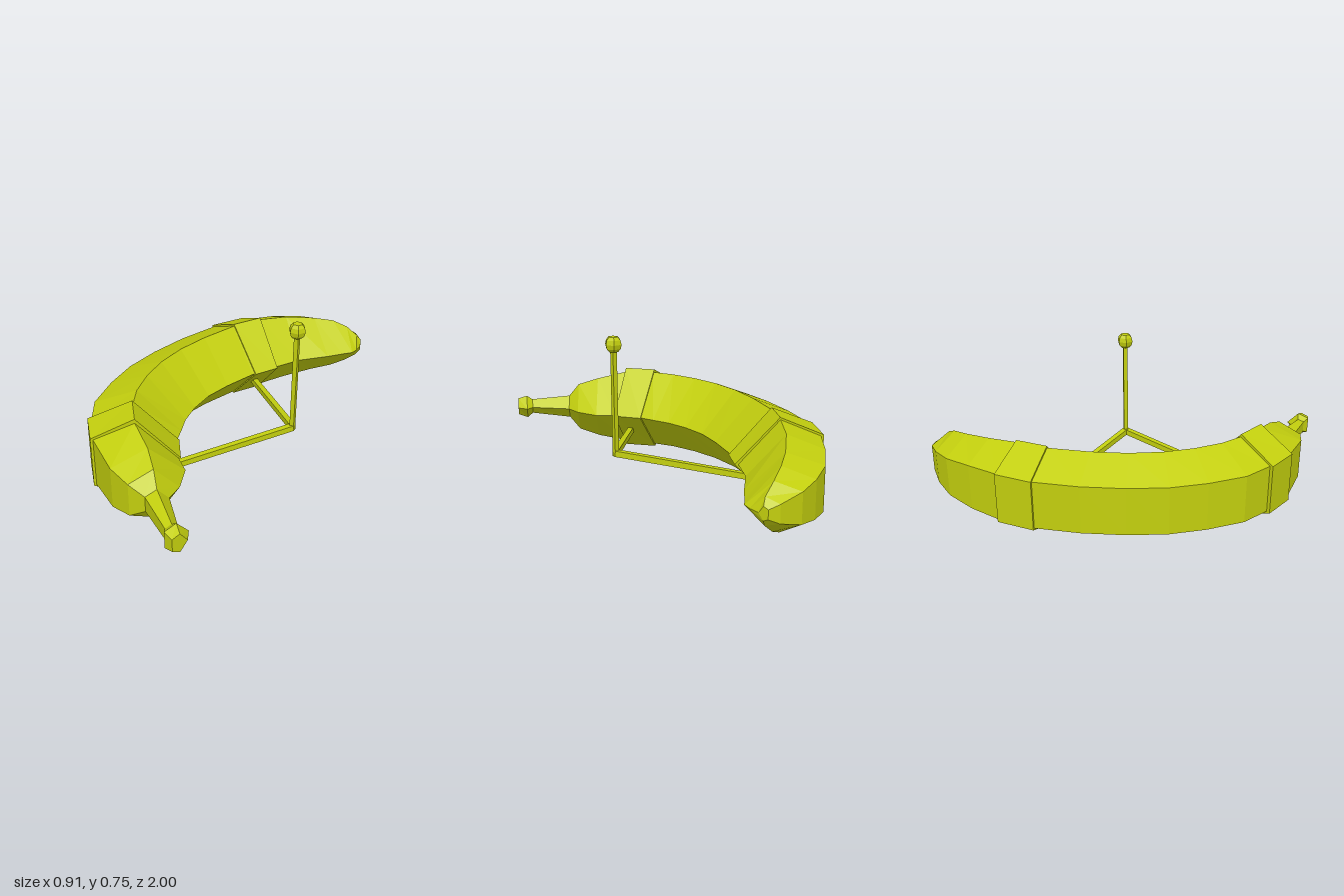
import * as THREE from 'three';

const MID = 0.22; // height of the body's centre plane
const material = new THREE.MeshStandardMaterial({ color: 0xc3cf0e, flatShading: true });

// Skins five-sided rings, listed from front (+z) to back.
// Section: outer x, z, inner x, z, ridge half height, outer face half height
function loft(name, sections) {
  const pos = [], idx = [], n = 5;
  for (const [ox, oz, ix, iz, H, h] of sections) {
    const mx = (ox + ix) / 2, mz = (oz + iz) / 2;
    pos.push(ox, MID + h, oz, mx, MID + H, mz, ix, MID, iz, mx, MID - H, mz, ox, MID - h, oz);
  }
  const last = (sections.length - 1) * n;
  for (let i = 0; i < last; i += n) {
    for (let j = 0; j < n; j++) {
      const k = (j + 1) % n;
      idx.push(i + j, i + k, i + n + k, i + j, i + n + k, i + n + j);
    }
  }
  for (let k = 1; k < n - 1; k++) {
    idx.push(0, k + 1, k, last, last + k, last + k + 1);
  }
  const geo = new THREE.BufferGeometry();
  geo.setAttribute('position', new THREE.Float32BufferAttribute(pos, 3));
  geo.setIndex(idx);
  return finish(name, geo.toNonIndexed());
}

function finish(name, geo) {
  geo.computeVertexNormals();
  const mesh = new THREE.Mesh(geo, material);
  mesh.name = name;
  return mesh;
}

// Square bar between two points
function bar(name, from, to, width) {
  const a = new THREE.Vector3(...from), b = new THREE.Vector3(...to);
  const mesh = finish(name, new THREE.BoxGeometry(width, width, a.distanceTo(b)));
  mesh.position.copy(a).add(b).multiplyScalar(0.5);
  mesh.lookAt(b);
  return mesh;
}

export function createModel() {
  const group = new THREE.Group();
  group.name = 'banana';

  // Curved fruit, from the stem shoulder to the blossom tip
  group.add(loft('fruit', [
    [0.125, 0.83, 0.19, 0.745, 0.06, 0.037],
    [0.05, 0.84, 0.19, 0.66, 0.125, 0.08],
    [-0.06, 0.805, 0.15, 0.545, 0.16, 0.1],
    [-0.235, 0.685, 0.075, 0.48, 0.195, 0.12],
    [-0.335, 0.555, 0.0, 0.37, 0.2, 0.12],
    [-0.41, 0.425, -0.025, 0.285, 0.2, 0.12],
    [-0.445, 0.24, -0.055, 0.195, 0.2, 0.12],
    [-0.455, 0.06, -0.07, 0.08, 0.2, 0.12],
    [-0.43, -0.13, -0.065, -0.05, 0.2, 0.12],
    [-0.38, -0.33, -0.03, -0.185, 0.2, 0.12],
    [-0.3, -0.54, 0.03, -0.35, 0.2, 0.12],
    [-0.2, -0.69, 0.1, -0.48, 0.2, 0.12],
    [-0.085, -0.815, 0.18, -0.61, 0.185, 0.115],
    [0.035, -0.92, 0.3, -0.725, 0.16, 0.1],
    [0.15, -0.975, 0.36, -0.79, 0.14, 0.085],
    [0.255, -1.0, 0.4, -0.83, 0.105, 0.068],
    [0.36, -0.985, 0.41, -0.87, 0.06, 0.04],
    [0.4, -0.96, 0.412, -0.92, 0.03, 0.02],
  ]));

  // Stem with flared end
  group.add(loft('stem', [
    [0.355, 0.995, 0.39, 0.935, 0.045, 0.03],
    [0.31, 0.98, 0.365, 0.885, 0.06, 0.04],
    [0.295, 0.95, 0.325, 0.895, 0.038, 0.028],
    [0.125, 0.83, 0.19, 0.745, 0.06, 0.037],
  ]));

  // Raised bands around the fruit
  group.add(loft('frontBand', [
    [-0.24, 0.695, 0.085, 0.475, 0.215, 0.125],
    [-0.35, 0.565, 0.005, 0.355, 0.215, 0.125],
  ]));
  group.add(loft('rearBand', [
    [-0.312, -0.54, 0.045, -0.36, 0.21, 0.125],
    [-0.21, -0.698, 0.115, -0.475, 0.21, 0.125],
  ]));

  // Two arms meeting at an upright post
  group.add(bar('frontArm', [0.415, 0.215, 0], [-0.035, 0.12, 0.49], 0.028));
  group.add(bar('rearArm', [0.415, 0.215, 0], [-0.02, 0.125, -0.46], 0.028));
  group.add(bar('post', [0.414, 0.2, 0], [0.414, 0.7, 0], 0.021));

  // Six-sided ball with flat poles
  const profile = [[0, -0.034], [0.022, -0.034], [0.035, -0.02], [0.04, 0],
    [0.035, 0.02], [0.022, 0.034], [0, 0.034]].map(([x, y]) => new THREE.Vector2(x, y));
  const ball = finish('ball', new THREE.LatheGeometry(profile, 6, Math.PI / 6));
  ball.position.set(0.414, 0.723, 0);
  group.add(ball);
  return group;
}
